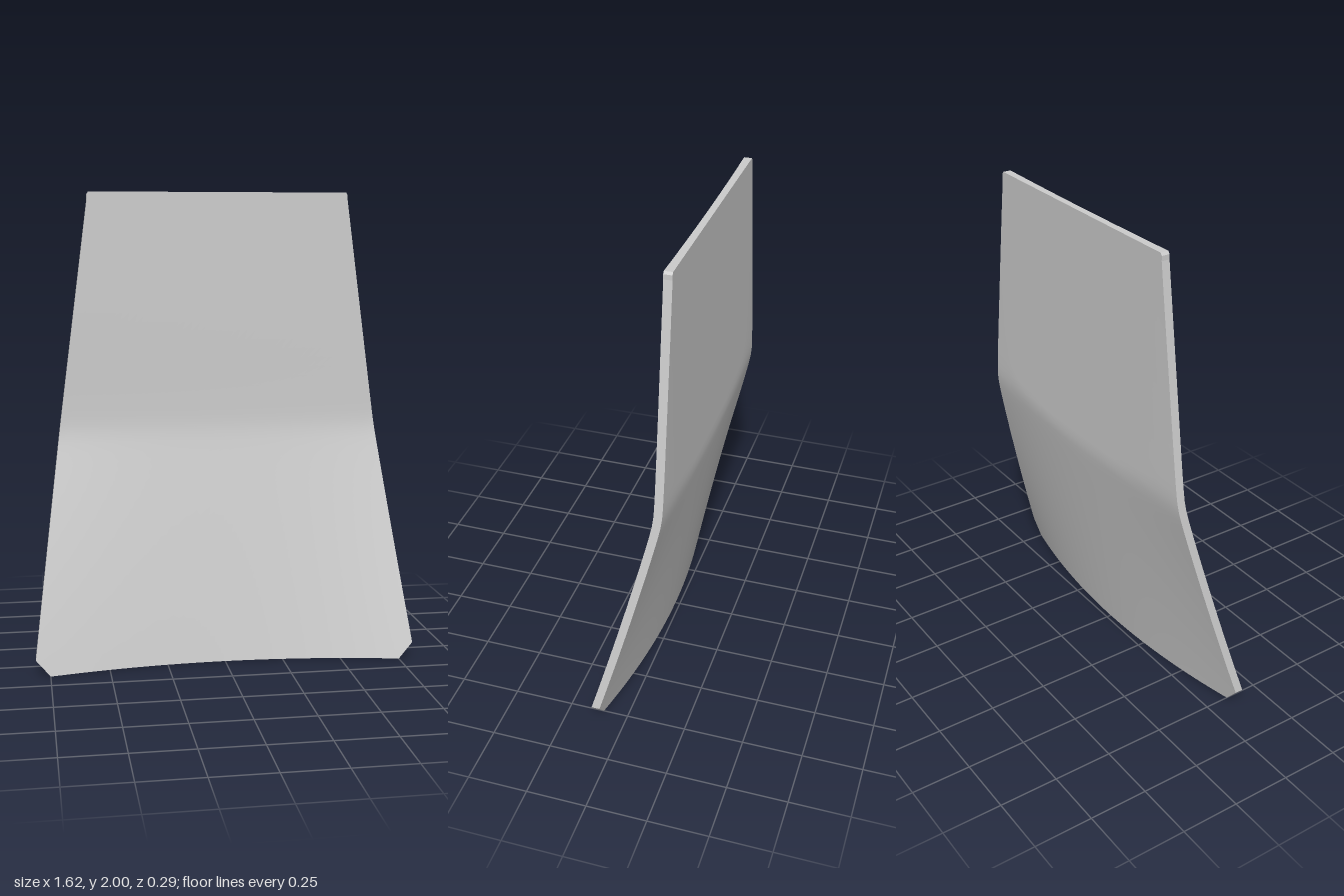
import * as THREE from 'three';

const COLS = 32;
const THICKNESS = 0.035;
const BACK_PLANE = -0.145;

// Half outline from bottom to top: [y, half width]
const OUTLINE = [[0, 0.75], [0.07, 0.81], [1.97, 0.557], [1.99, 0.557], [2, 0.55]];

// Row heights, bottom to top, including the chamfer corners
const ROWS = [0, 0.035];
for (let i = 0; i <= 48; i++) ROWS.push(0.07 + (1.9 * i) / 48);
ROWS.push(1.99, 2);

function halfWidth(y) {
  let i = 0;
  while (i < OUTLINE.length - 2 && y > OUTLINE[i + 1][0]) i++;
  const [y0, w0] = OUTLINE[i], [y1, w1] = OUTLINE[i + 1];
  return w0 + ((w1 - w0) * (y - y0)) / (y1 - y0);
}

// Upright upper half, lower half sweeping forward and curving at the sides
function frontZ(x, y) {
  const d = 1 - y;
  const t = 0.5 * (d + Math.sqrt(d * d + 0.002));
  return -0.117 + 0.173 * t + (0.02 + 0.13 * t) * x * x;
}

// Follows the front, cut off by a flat panel on the upper back
function backZ(x, y) {
  return Math.max(BACK_PLANE, frontZ(x, y) - THICKNESS);
}

function face(zAt, flip) {
  const g = new THREE.PlaneGeometry(1, 1, COLS, ROWS.length - 1);
  const p = g.attributes.position;
  for (let i = 0; i < p.count; i++) {
    const y = ROWS[ROWS.length - 1 - Math.floor(i / (COLS + 1))];
    const x = p.getX(i) * 2 * halfWidth(y);
    p.setXYZ(i, x, y, zAt(x, y));
  }
  if (flip) g.index.array.reverse();
  g.computeVertexNormals();
  return g;
}

// Edge strip, counter-clockwise around the outline
function rim() {
  const loop = [];
  const top = ROWS[ROWS.length - 1];
  for (let i = 0; i < COLS; i++) loop.push([halfWidth(0) * (2 * i / COLS - 1), 0]);
  for (const y of ROWS) loop.push([halfWidth(y), y]);
  for (let i = 1; i < COLS; i++) loop.push([halfWidth(top) * (1 - 2 * i / COLS), top]);
  for (const y of [...ROWS].reverse()) loop.push([-halfWidth(y), y]);
  const v = [];
  loop.forEach(([x0, y0], i) => {
    const [x1, y1] = loop[(i + 1) % loop.length];
    if (x0 === x1 && y0 === y1) return;
    const a = [x0, y0, frontZ(x0, y0)], b = [x1, y1, frontZ(x1, y1)];
    const c = [x1, y1, backZ(x1, y1)], d = [x0, y0, backZ(x0, y0)];
    v.push(...a, ...d, ...c, ...a, ...c, ...b);
  });
  const g = new THREE.BufferGeometry();
  g.setAttribute('position', new THREE.Float32BufferAttribute(v, 3));
  g.computeVertexNormals();
  return g;
}

export function createModel() {
  const group = new THREE.Group();
  group.name = 'curvedPanel';
  const material = new THREE.MeshStandardMaterial({ color: 0xcccccc });
  const add = (name, geometry) => {
    const mesh = new THREE.Mesh(geometry, material);
    mesh.name = name;
    group.add(mesh);
  };
  add('frontFace', face(frontZ, false));
  add('backFace', face(backZ, true));
  add('edgeRim', rim());
  return group;
}
